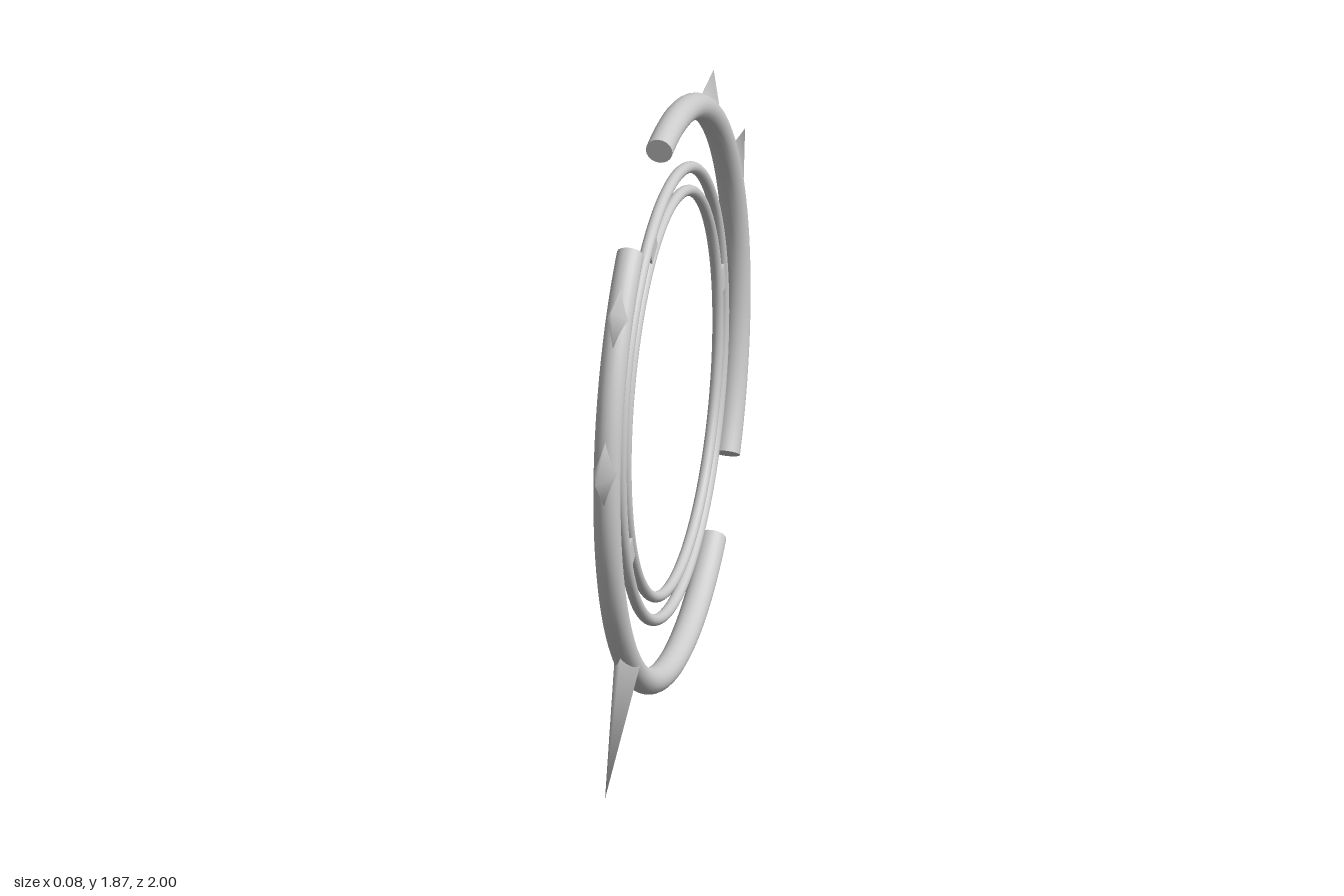
import * as THREE from 'three';

const material = new THREE.MeshStandardMaterial({ color: 0xcccccc, side: THREE.DoubleSide });
const rad = THREE.MathUtils.degToRad;
const ARC_RADIUS = 0.868, ARC_TUBE = 0.041;

function add(parent, name, geometry) {
  const mesh = new THREE.Mesh(geometry, material);
  mesh.name = name;
  parent.add(mesh);
  return mesh;
}

// Thick open arc with flat end caps, angles in degrees
function addArc(parent, name, start, end) {
  const arc = new THREE.Group();
  arc.name = name;
  parent.add(arc);
  const tube = new THREE.TorusGeometry(ARC_RADIUS, ARC_TUBE, 20, 96, rad(end - start));
  add(arc, name + 'Tube', tube.rotateZ(rad(start)));
  for (const angle of [start, end]) {
    const cap = new THREE.CircleGeometry(ARC_TUBE, 20).rotateX(Math.PI / 2);
    add(arc, name + 'Cap', cap.translate(ARC_RADIUS, 0, 0).rotateZ(rad(angle)));
  }
}

// Thin spike: diamond base wrapped on the arc, converging to a tip
function addSpike(parent, [tipX, tipY, from, to]) {
  const on = (deg, r, z) => [r * Math.cos(rad(deg)), r * Math.sin(rad(deg)), z];
  const mid = (from + to) / 2;
  const geometry = new THREE.BufferGeometry();
  geometry.setAttribute('position', new THREE.Float32BufferAttribute([
    tipX, tipY, 0,
    ...on(from, 0.89, 0), ...on(mid, ARC_RADIUS, ARC_TUBE),
    ...on(to, 0.89, 0), ...on(mid, ARC_RADIUS, -ARC_TUBE),
  ], 3));
  // corners run counter-clockwise as seen from the tip
  geometry.setIndex([0, 2, 1, 0, 3, 2, 0, 4, 3, 0, 1, 4]);
  geometry.computeVertexNormals();
  add(parent, 'spike', geometry);
}

export function createModel() {
  const model = new THREE.Group();
  model.name = 'spikedRing';

  // Built in the XY plane, then turned so that the disc faces sideways
  const disc = new THREE.Group();
  disc.name = 'disc';
  disc.rotation.y = Math.PI / 2;
  disc.position.set(0, 0.965, -0.025);
  model.add(disc);

  // Two thin concentric rings
  add(disc, 'innerRing', new THREE.TorusGeometry(0.614, 0.017, 14, 128));
  add(disc, 'outerRing', new THREE.TorusGeometry(0.684, 0.018, 14, 128));

  // Small blocks joining the rings
  for (const angle of [11.3, 116.4, 206.3]) {
    const block = new THREE.BoxGeometry(0.06, 0.08, 0.024);
    add(disc, 'ringConnector', block.translate(0.65, 0, 0).rotateZ(rad(angle)));
  }

  // Two broken outer arcs
  addArc(disc, 'upperArc', -33.2, 101.4);
  addArc(disc, 'lowerArc', 129.8, 309);

  // Spikes: tip position, then base angles in degrees
  const spikes = [
    [0.556, 0.834, 49.3, 65.1],
    [0.975, 0.481, 18.6, 34],
    [-0.807, 0.578, 136.7, 151.9],
    [-1.025, 0.096, 167, 182],
    [-0.893, -0.965, 220, 234.3],
  ];
  for (const spike of spikes) addSpike(disc, spike);

  return model;
}
